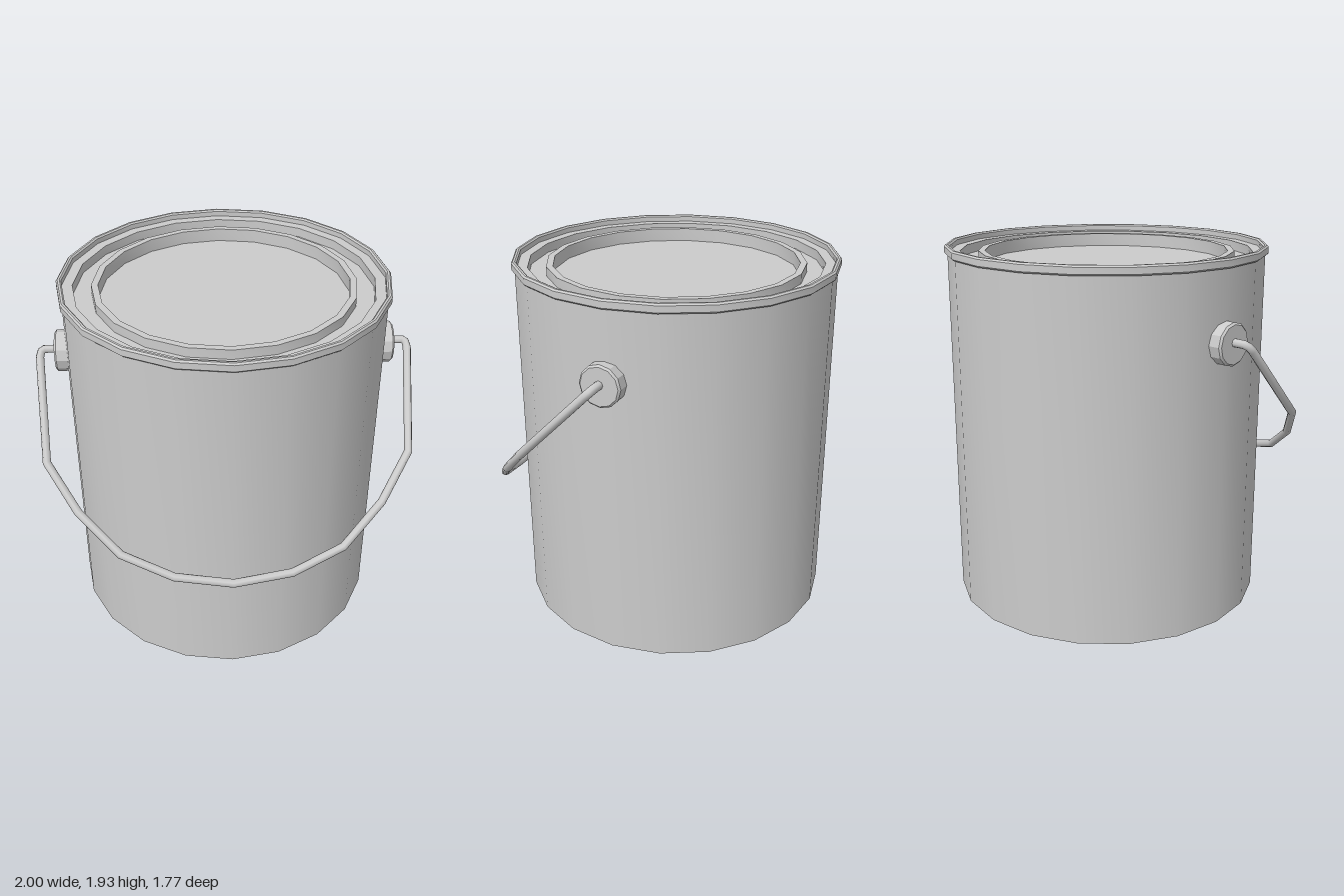
import * as THREE from 'three';
import { toCreasedNormals } from 'three/addons/utils/BufferGeometryUtils.js';

const CAN_Z = -0.03;
const EAR_Y = 1.52;

export function createModel() {
  const group = new THREE.Group();
  const material = new THREE.MeshStandardMaterial({ color: 0xcccccc });

  const add = (name, geometry) => {
    const mesh = new THREE.Mesh(geometry, material);
    mesh.name = name;
    group.add(mesh);
    return mesh;
  };
  const lathe = (profile, sides) => toCreasedNormals(
    new THREE.LatheGeometry(profile.map(([r, y]) => new THREE.Vector2(r, y)), sides), 0.5);

  // Can wall with closed bottom
  add('canBody', lathe([[0, 0], [0.84, 0], [0.84, 1.9]], 20)).position.z = CAN_Z;

  // Rolled rim, stepping down to a ledge and the groove around the lid
  add('rim', lathe([
    [0.838, 1.885], [0.848, 1.885], [0.856, 1.893], [0.856, 1.926], [0.848, 1.935],
    [0.837, 1.935], [0.829, 1.927], [0.829, 1.9], [0.775, 1.9], [0.775, 1.85], [0.68, 1.85],
  ], 20)).position.z = CAN_Z;

  // Lid: raised ring around a sunken centre
  add('lid', lathe([
    [0.68, 1.85], [0.68, 1.9], [0.645, 1.9], [0.645, 1.83], [0, 1.83],
  ], 20)).position.z = CAN_Z;

  // Round ears holding the handle
  for (const side of [1, -1]) {
    const ear = add(side > 0 ? 'leftEar' : 'rightEar', lathe([
      [0, 0], [0.11, 0], [0.11, 0.062], [0.1, 0.072], [0, 0.072],
    ], 12));
    ear.position.set(side * 0.822, EAR_Y, CAN_Z);
    ear.rotation.z = -side * Math.PI / 2;
  }

  // Wire handle: half path [x, y] in a plane tilted 45 degrees forward, mirrored
  const half = [
    [0.86, 1.53], [0.953, 1.53], [0.97, 1.522], [0.978, 1.5],
    [0.947, 1.1], [0.79, 0.915], [0.575, 0.755], [0.305, 0.668],
  ];
  const path = [...half, [0, 0.637], ...half.map(([x, y]) => [-x, y]).reverse()]
    .map(([x, y]) => new THREE.Vector3(x, y, 1.5 - y));
  const last = path.length - 1;
  const wire = new THREE.Curve();
  wire.getPointAt = (u, target = new THREE.Vector3()) => target.copy(path[Math.round(u * last)]);
  wire.getTangentAt = (u, target = new THREE.Vector3()) => {
    const i = Math.round(u * last);
    const before = path[i].clone().sub(path[Math.max(i - 1, 0)]).normalize();
    const after = path[Math.min(i + 1, last)].clone().sub(path[i]).normalize();
    return target.copy(before).add(after).normalize();
  };
  add('handle', new THREE.TubeGeometry(wire, last, 0.022, 8, false));

  return group;
}
